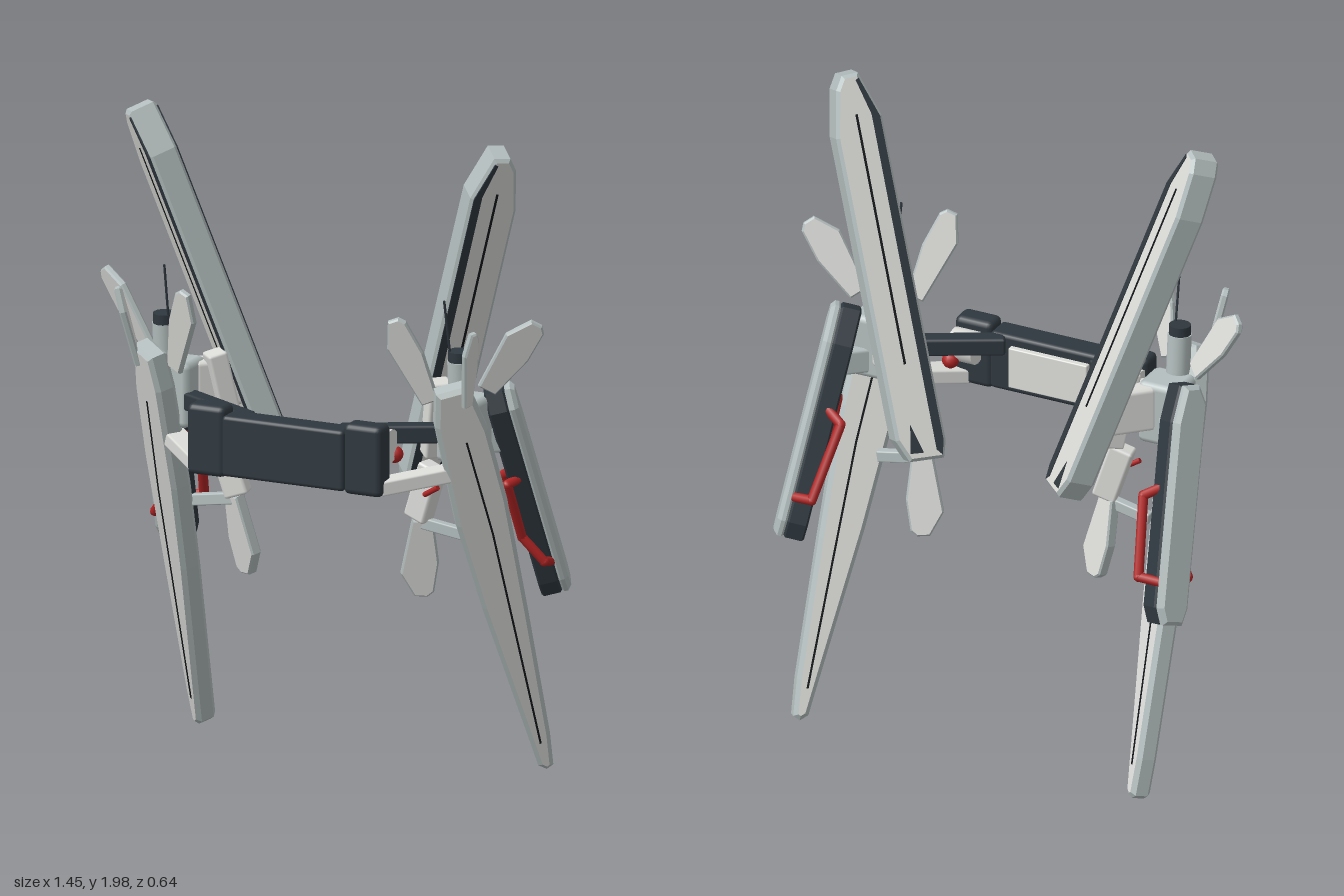
import * as THREE from 'three';
import { RoundedBoxGeometry } from 'three/addons/geometries/RoundedBoxGeometry.js';

const mat = (name, color) => {
  const m = new THREE.MeshStandardMaterial({ color });
  m.name = name;
  return m;
};
const V = (p) => new THREE.Vector3(...p);

export function createModel() {
  const light = mat('warm light grey', 0xdcdcd9);
  const cool = mat('cool grey', 0xb4bebe);
  const dark = mat('dark slate', 0x2f383f);
  const black = mat('panel line black', 0x14171a);
  const red = mat('red', 0xb02424);

  const add = (parent, name, geo, material, pos = [0, 0, 0]) => {
    const mesh = new THREE.Mesh(geo, material);
    mesh.name = name;
    mesh.position.set(...pos);
    parent.add(mesh);
    return mesh;
  };

  // Group whose local y runs from one point to another, local x near the given width direction
  const frame = (parent, name, from, to, width) => {
    const g = new THREE.Group();
    const y = V(to).sub(V(from)).normalize();
    const z = V(width).cross(y).normalize();
    const x = y.clone().cross(z);
    g.quaternion.setFromRotationMatrix(new THREE.Matrix4().makeBasis(x, y, z));
    g.position.set(...from);
    g.name = name;
    parent.add(g);
    return g;
  };

  // Bevelled plate centred on local z
  const slab = (parent, name, pts, thick, mats, bevel = 0, z = 0) => {
    const geo = new THREE.ExtrudeGeometry(new THREE.Shape(pts.map((p) => new THREE.Vector2(...p))), {
      depth: thick - 2 * bevel, bevelEnabled: bevel > 0, bevelThickness: bevel,
      bevelSize: bevel, bevelOffset: -bevel, bevelSegments: 1,
    });
    geo.translate(0, 0, z - thick / 2 + bevel);
    return add(parent, name, geo, mats);
  };

  // Straight bar with a rectangular section
  const bar = (parent, name, a, b, w, h, material) => {
    const g = frame(parent, name, a, b, [0, 1, 0]);
    const len = V(a).distanceTo(V(b));
    add(g, name, new RoundedBoxGeometry(h, len, w, 1, Math.min(w, h) * 0.15), material, [0, len / 2, 0]);
  };

  const rod = (parent, name, a, b, r, material, sides = 8) => {
    const g = frame(parent, name, a, b, [0.1, 0.01, 1]);
    const len = V(a).distanceTo(V(b));
    add(g, name, new THREE.CylinderGeometry(r, r, len, sides), material, [0, len / 2, 0]);
  };

  // Bent grab handle
  const handle = (parent, name, pts) => {
    for (let i = 0; i < pts.length - 1; i++) rod(parent, name, pts[i], pts[i + 1], 0.015, red);
    pts.slice(1, -1).forEach((p) => add(parent, name, new THREE.SphereGeometry(0.0155, 8, 6), red, p));
  };

  // Small leaf-shaped fin, widest towards the tip
  const petal = (parent, name, from, to, width, w, thick = 0.022) => {
    const g = frame(parent, name, from, to, width);
    const L = V(from).distanceTo(V(to));
    slab(g, name, [[-w * 0.28, 0], [w * 0.28, 0], [w * 0.5, L * 0.55], [w * 0.42, L * 0.93], [w * 0.25, L], [-w * 0.1, L], [-w * 0.5, L * 0.72]],
      thick, [light, cool], 0.005);
  };

  const buildSide = () => {
    const s = new THREE.Group();

    // Tall upper blade
    const blade = frame(s, 'upperBlade', [0.235, 0.87, -0.14], [0.592, 1.98, 0.07], [0.72, 0, -0.69]);
    slab(blade, 'bladeBody', [[-0.06, 0.0], [0.045, 0.01], [0.075, 0.08], [0.078, 1.0], [0.05, 1.14], [0.025, 1.18],
      [-0.025, 1.18], [-0.072, 1.04], [-0.075, 0.05]], 0.09, [light, cool], 0.01);
    slab(blade, 'bladeEdgeStripe', [[-0.055, 0.012], [-0.04, 0.03], [-0.04, 1.05], [-0.012, 1.16], [-0.022, 1.165],
      [-0.064, 1.04], [-0.066, 0.055]], 0.094, dark);
    slab(blade, 'bladePanelLine', [[0.002, 0.3], [0.009, 0.3], [0.009, 1.06], [0.002, 1.06]], 0.094, black);
    slab(blade, 'bladeNotch', [[0.0, 0.03], [0.04, 0.035], [0.025, 0.12]], 0.093, dark);

    // Long front fin tapering to the ground
    const fin = frame(s, 'longFin', [0.56, 0.012, -0.3], [0.495, 1.28, 0.195], [0.8, 0, -0.6]);
    slab(fin, 'finBody', [[-0.022, 0.02], [0, 0], [0.022, 0.01], [0.035, 0.12], [0.06, 0.55], [0.08, 0.95], [0.075, 1.2],
      [0.05, 1.36], [-0.05, 1.36], [-0.075, 1.25], [-0.085, 0.9], [-0.07, 0.6], [-0.03, 0.12]], 0.066, [light, cool], 0.013);
    slab(fin, 'finPanelLine', [[-0.003, 0.1], [0.003, 0.1], [0.016, 0.85], [0.006, 1.18], [0, 1.18], [0.01, 0.85]], 0.07, black);

    // Outer rear fin: grey shell over a thick dark inner layer
    const rear = frame(s, 'rearFin', [0.622, 0.58, -0.25], [0.562, 1.25, 0.02], [-0.4, 0, -0.86]);
    const rearPts = [[-0.04, 0], [0.03, 0], [0.05, 0.05], [0.055, 0.6], [0.035, 0.71], [-0.02, 0.715], [-0.052, 0.66], [-0.055, 0.05]];
    slab(rear, 'rearFinShell', rearPts, 0.036, cool, 0.012, 0.027);
    slab(rear, 'rearFinInner', rearPts.map(([x, y]) => [x * 1.02, y]), 0.062, dark, 0.006, -0.016);
    handle(s, 'frontHandle', [[0.6, 0.955, -0.07], [0.578, 0.94, -0.01], [0.582, 0.76, -0.1], [0.64, 0.685, -0.13], [0.64, 0.675, -0.18]]);
    handle(s, 'innerHandle', [[0.57, 0.97, -0.12], [0.5, 0.93, -0.145], [0.54, 0.72, -0.255], [0.61, 0.71, -0.24]]);

    // Cluster of small fins around the thruster
    petal(s, 'outerPetal', [0.555, 1.25, 0.08], [0.705, 1.47, 0.065], [0.75, -0.4, -0.6], 0.105);
    petal(s, 'innerPetal', [0.42, 1.22, 0.18], [0.335, 1.48, 0.27], [0.85, 0, -0.3], 0.095);
    petal(s, 'frontPetal', [0.54, 1.22, 0.18], [0.582, 1.46, 0.235], [0.35, 0, -0.9], 0.055);
    rod(s, 'thruster', [0.485, 1.22, 0.11], [0.485, 1.34, 0.12], 0.036, cool, 16);
    rod(s, 'thrusterNozzle', [0.485, 1.33, 0.12], [0.485, 1.37, 0.122], 0.033, dark, 16);
    rod(s, 'antenna', [0.465, 1.25, 0.115], [0.46, 1.53, 0.17], 0.004, dark, 6);

    // Hub tying the blades together
    add(s, 'hub', new RoundedBoxGeometry(0.14, 0.2, 0.13, 1, 0.02), cool, [0.475, 1.12, 0.06]);
    bar(s, 'bladeMount', [0.44, 1.14, 0.03], [0.33, 1.14, -0.08], 0.09, 0.14, light);
    bar(s, 'rearFinMount', [0.48, 1.08, 0.04], [0.57, 1.08, -0.04], 0.07, 0.08, cool);
    bar(s, 'sidePod', [0.37, 1.24, 0.02], [0.33, 1.0, -0.02], 0.07, 0.06, light);

    // Arms back from the crossbar
    bar(s, 'upperArm', [0.15, 1.105, 0.235], [0.46, 1.105, 0.07], 0.055, 0.055, dark);
    bar(s, 'lowerArm', [0.29, 0.965, 0.265], [0.47, 0.995, 0.1], 0.07, 0.045, light);
    rod(s, 'armJoint', [0.23, 1.08, 0.215], [0.31, 1.08, 0.215], 0.05, light, 16);
    add(s, 'armPivot', new THREE.SphereGeometry(0.026, 12, 8), red, [0.3, 1.045, 0.175]);

    // Lower inner pod with its hanging fin
    bar(s, 'innerPod', [0.35, 0.98, 0.02], [0.295, 0.81, 0.01], 0.06, 0.075, light);
    petal(s, 'innerTailFin', [0.31, 0.81, 0.01], [0.275, 0.565, -0.03], [1, 0, -0.5], 0.11, 0.035);
    bar(s, 'podStrut', [0.3, 0.8, 0.01], [0.45, 0.775, 0.0], 0.03, 0.035, cool);
    rod(s, 'podLever', [0.335, 0.895, 0.05], [0.385, 0.925, 0.06], 0.008, red);
    return s;
  };

  const model = new THREE.Group();
  model.name = 'wingBackpack';

  // Crossbar
  add(model, 'crossbar', new RoundedBoxGeometry(0.4, 0.185, 0.085, 2, 0.012), dark, [0, 1.043, 0.274]);
  add(model, 'crossbarBackPlate', new RoundedBoxGeometry(0.26, 0.13, 0.03, 1, 0.004), light, [0, 1.04, 0.228]);

  for (const side of [1, -1]) {
    add(model, 'crossbarEnd', new RoundedBoxGeometry(0.124, 0.215, 0.075, 2, 0.018), dark, [side * 0.257, 1.05, 0.272]);
    const wing = buildSide();
    wing.name = side > 0 ? 'leftWing' : 'rightWing';
    wing.scale.x = side;
    model.add(wing);
  }
  return model;
}
